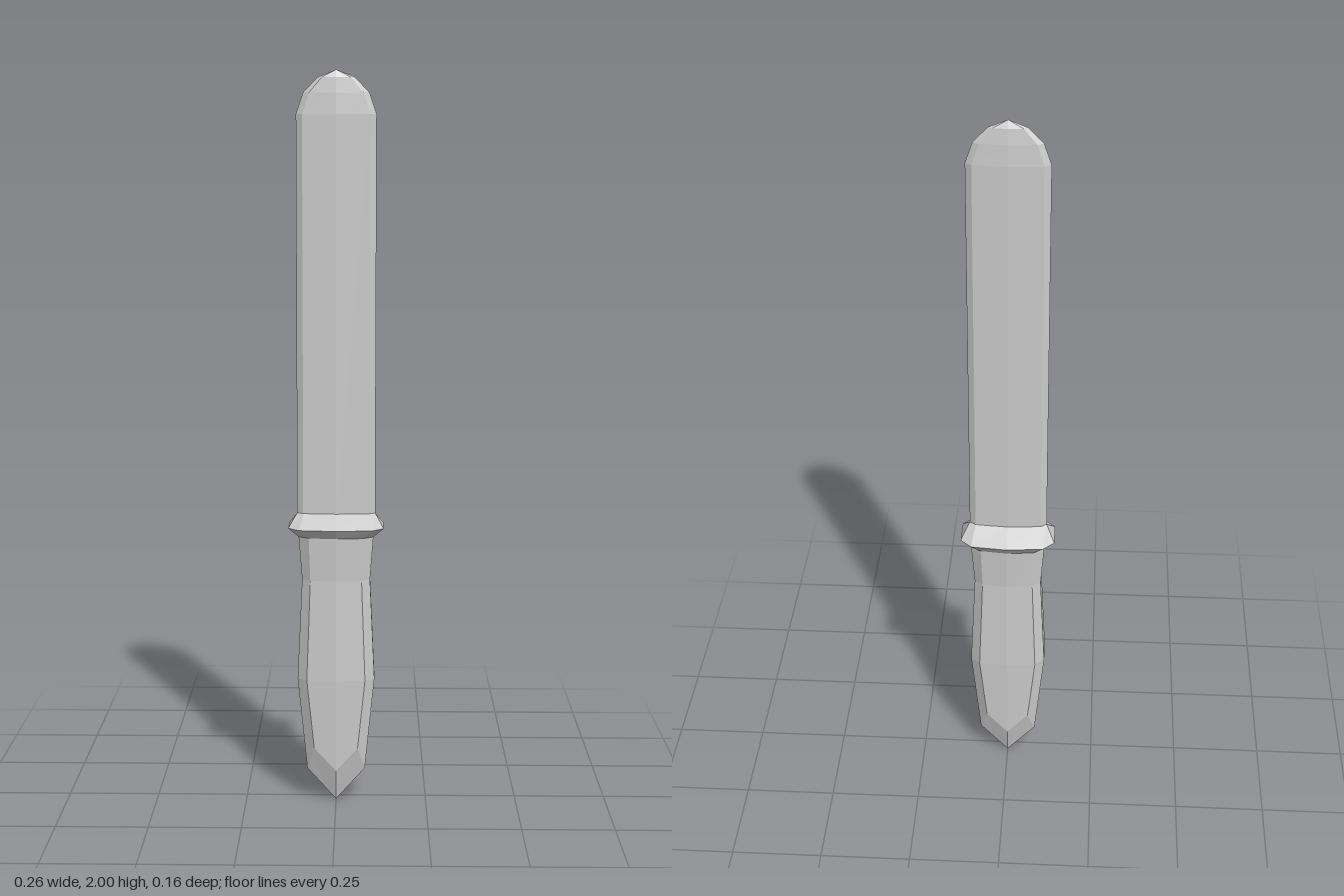
import * as THREE from 'three';

const steel = new THREE.MeshStandardMaterial({ color: 0xcccccc, flatShading: true });

// Ten-sided ring: flat narrow sides, chamfered corners, ridge down the middle.
// xo, zo: side edge; xi, zi: corner; zc: ridge; yi, yc: own heights of corner and ridge.
function ring({ y, xo, zo, xi, zi, zc, yi = y, yc = y }) {
  const front = [[-xo, y, zo], [-xi, yi, zi], [0, yc, zc], [xi, yi, zi], [xo, y, zo]];
  const back = front.map(([px, py, pz]) => [px, py, -pz]).reverse();
  return [...front, ...back].map((p) => new THREE.Vector3(...p));
}

// Skin a stack of rings from bottom to top, with an optional flat bottom strip.
function loft(name, sections, closeBottom = false) {
  const rings = sections.map(ring);
  const points = [];
  const tri = (a, b, c) => {
    if (new THREE.Triangle(a, b, c).getArea() > 1e-8) points.push(a, b, c);
  };
  const quad = (a, b, c, d) => { tri(a, b, c); tri(a, c, d); };
  for (let r = 0; r < rings.length - 1; r++) {
    for (let i = 0; i < 10; i++) {
      const j = (i + 1) % 10;
      quad(rings[r][i], rings[r][j], rings[r + 1][j], rings[r + 1][i]);
    }
  }
  if (closeBottom) {
    const b = rings[0];
    for (let i = 0; i < 4; i++) quad(b[i], b[9 - i], b[8 - i], b[i + 1]);
  }
  const geometry = new THREE.BufferGeometry().setFromPoints(points);
  geometry.computeVertexNormals();
  const mesh = new THREE.Mesh(geometry, steel);
  mesh.name = name;
  return mesh;
}

export function createModel() {
  const group = new THREE.Group();
  group.name = 'knife';

  // Grip with a wedge-shaped, chamfered butt
  group.add(loft('handle', [
    { y: 0.09, xo: 0.08, zo: 0.03, xi: 0.04, zi: 0.03, zc: 0.03, yi: 0.045, yc: 0 },
    { y: 0.09, xo: 0.08, zo: 0.03, xi: 0.06, zi: 0.053, zc: 0.055, yi: 0.155, yc: 0.09 },
    { y: 0.35, xo: 0.106, zo: 0.033, xi: 0.08, zi: 0.055, zc: 0.062 },
    { y: 0.63, xo: 0.093, zo: 0.03, xi: 0.07, zi: 0.049, zc: 0.056 },
    { y: 0.75, xo: 0.102, zo: 0.033, xi: 0.074, zi: 0.054, zc: 0.062 },
  ], true));

  // Flared guard, narrowing upward to the blade
  group.add(loft('guard', [
    { y: 0.75, xo: 0.102, zo: 0.033, xi: 0.074, zi: 0.054, zc: 0.062 },
    { y: 0.775, xo: 0.13, zo: 0.04, xi: 0.1, zi: 0.07, zc: 0.08 },
    { y: 0.81, xo: 0.107, zo: 0, xi: 0.09, zi: 0.012, zc: 0.019 },
  ]));

  // Straight double-edged blade with a rounded tip
  group.add(loft('blade', [
    { y: 0.81, xo: 0.107, zo: 0, xi: 0.09, zi: 0.012, zc: 0.019 },
    { y: 1.885, xo: 0.107, zo: 0, xi: 0.09, zi: 0.012, zc: 0.019 },
    { y: 1.94, xo: 0.088, zo: 0, xi: 0.072, zi: 0.01, zc: 0.015 },
    { y: 1.98, xo: 0.05, zo: 0, xi: 0.038, zi: 0.007, zc: 0.01 },
    { y: 2, xo: 0, zo: 0, xi: 0, zi: 0, zc: 0 },
  ]));

  return group;
}
